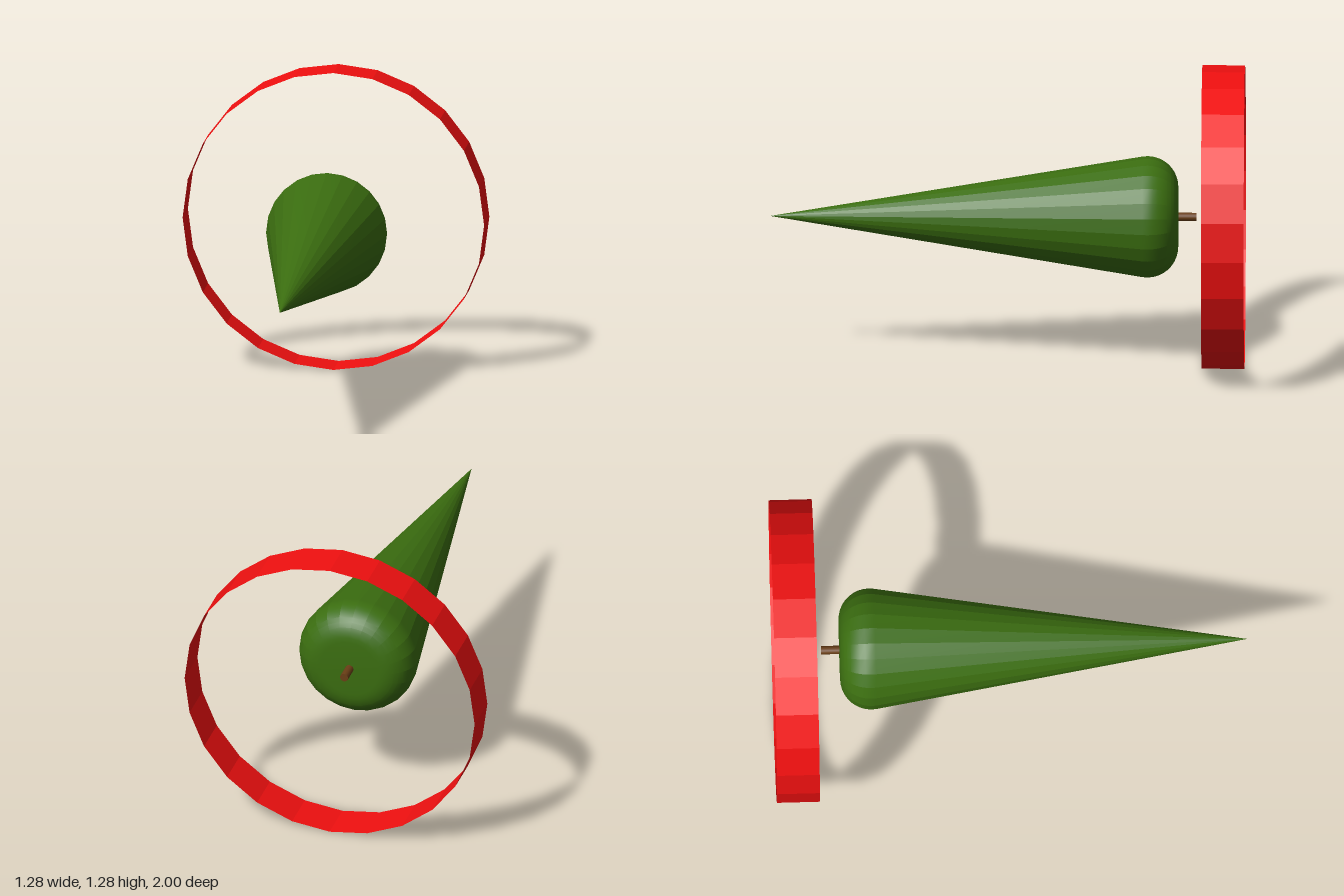
import * as THREE from 'three';
import { toCreasedNormals } from 'three/addons/utils/BufferGeometryUtils.js';

const SIDES = 24;
const AXIS_Y = 0.64;

// Adds a part whose y axis is turned to run along z
function addPart(group, name, geometry, color, z, options = {}) {
  geometry.rotateX(Math.PI / 2);
  const mesh = new THREE.Mesh(geometry, new THREE.MeshStandardMaterial({ color, ...options }));
  mesh.name = name;
  mesh.position.set(0, AXIS_Y, z);
  group.add(mesh);
}

export function createModel() {
  const group = new THREE.Group();
  group.name = 'coneAndRing';

  // Cone body: flat back, rounded shoulder, straight taper to the tip
  const fillet = 0.13, shoulderR = 0.126, shoulderZ = -0.59, taper = 0.16;
  const profile = [new THREE.Vector2(0, shoulderZ - fillet)];
  const steps = 10;
  for (let i = 0; i <= steps; i++) {
    const a = THREE.MathUtils.lerp(-Math.PI / 2, taper, i / steps);
    profile.push(new THREE.Vector2(shoulderR + fillet * Math.cos(a), shoulderZ + fillet * Math.sin(a)));
  }
  profile.push(new THREE.Vector2(0, 1));
  const body = toCreasedNormals(new THREE.LatheGeometry(profile, SIDES), 0.2);
  addPart(group, 'coneBody', body, 0x3b6e10, 0);

  // Short stem behind the body
  addPart(group, 'stem', new THREE.CylinderGeometry(0.018, 0.018, 0.08, 12), 0x6b3f16, -0.757);

  // Thin open ring behind the stem
  addPart(group, 'ring', new THREE.CylinderGeometry(0.64, 0.64, 0.18, SIDES, 1, true), 0xf01010, -0.91,
    { side: THREE.DoubleSide, flatShading: true });

  return group;
}
